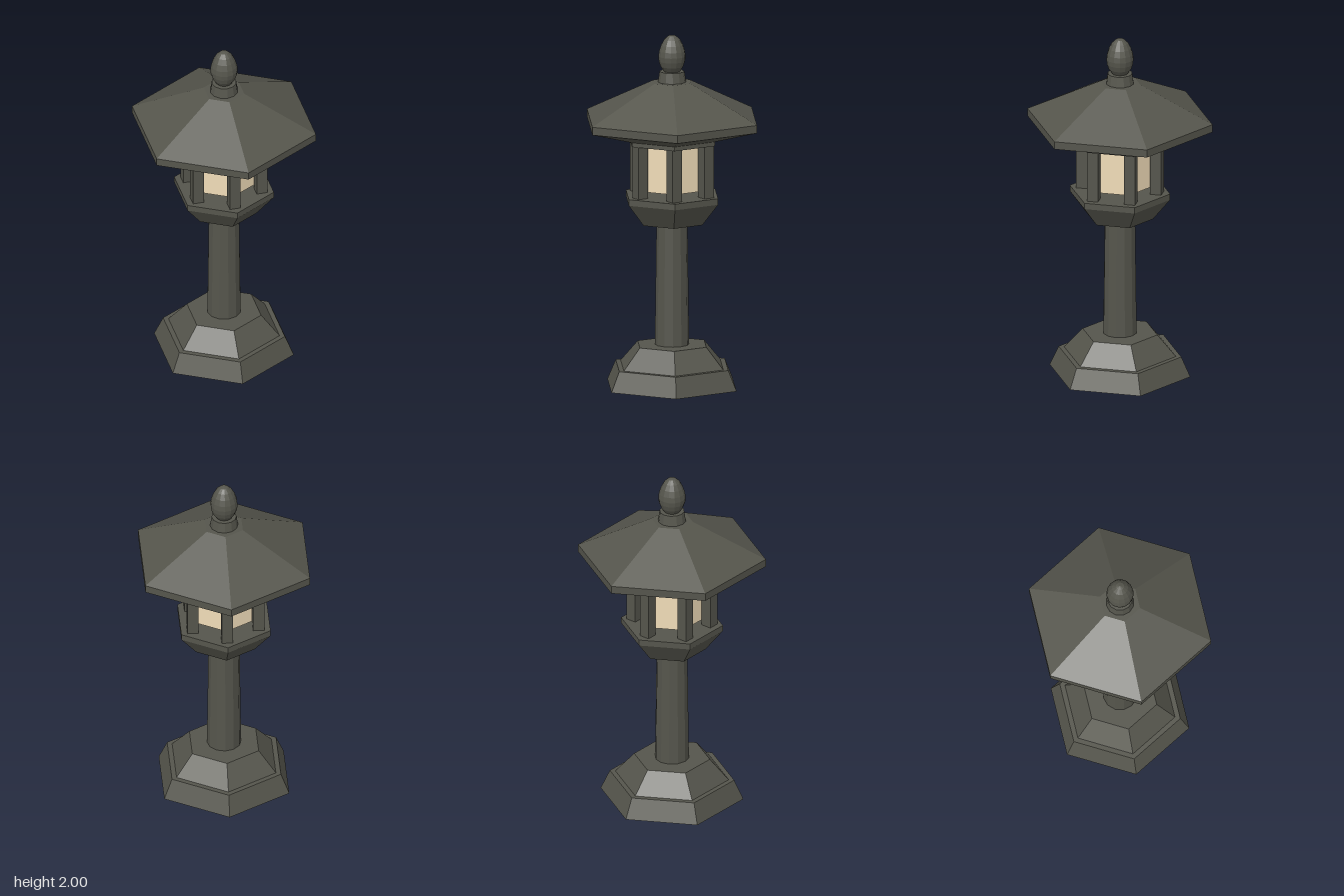
import * as THREE from 'three';

const stone = new THREE.MeshStandardMaterial({ color: 0x55554c, flatShading: true });
const paper = new THREE.MeshStandardMaterial({ color: 0xf0dcb8, flatShading: true });

export function createModel() {
  const group = new THREE.Group();

  function add(name, geometry, material = stone) {
    const mesh = new THREE.Mesh(geometry, material);
    mesh.name = name;
    group.add(mesh);
    return mesh;
  }

  // Faceted solid turned from [radius, y] pairs listed bottom to top; corners start at +z
  function turned(name, profile, sides = 6, material = stone) {
    const points = profile.map(([r, y]) => new THREE.Vector2(r, y));
    return add(name, new THREE.LatheGeometry(points, sides), material);
  }

  // Stepped hexagonal foot
  turned('lowerBase', [[0, 0], [0.405, 0], [0.353, 0.115], [0, 0.115]]);
  turned('upperBase', [[0, 0.11], [0.322, 0.115], [0.215, 0.235], [0, 0.235]]);

  // Tapered column
  turned('column', [[0, 0.23], [0.096, 0.23], [0.087, 0.935], [0, 0.935]], 12);

  // Flared platform under the lantern
  turned('platform', [[0, 0.93], [0.19, 0.93], [0.289, 1.055], [0.289, 1.09], [0, 1.09]]);

  // Corner posts, all square to the axes
  for (let i = 0; i < 6; i++) {
    const a = (i * Math.PI) / 3;
    add('post', new THREE.BoxGeometry(0.063, 0.31, 0.063))
      .position.set(0.213 * Math.sin(a), 1.24, 0.213 * Math.cos(a));
  }

  // Pale light core
  turned('lightCore', [[0, 1.12], [0.175, 1.12], [0.175, 1.37], [0, 1.37]], 6, paper);

  // Ring beam and roof
  turned('ringBeam', [[0, 1.388], [0.268, 1.388], [0.268, 1.42], [0, 1.42]]);
  turned('roof', [[0, 1.413], [0.27, 1.413], [0.533, 1.485], [0.533, 1.53], [0.117, 1.732], [0, 1.732]]);

  // Neck and egg-shaped finial
  turned('neck', [[0, 1.73], [0.079, 1.73], [0.07, 1.792], [0, 1.792]], 12);
  turned('finial', [
    [0, 1.788], [0.045, 1.792], [0.064, 1.82], [0.074, 1.85], [0.077, 1.878],
    [0.073, 1.908], [0.062, 1.942], [0.045, 1.973], [0.023, 1.994], [0, 2],
  ], 14);

  return group;
}
